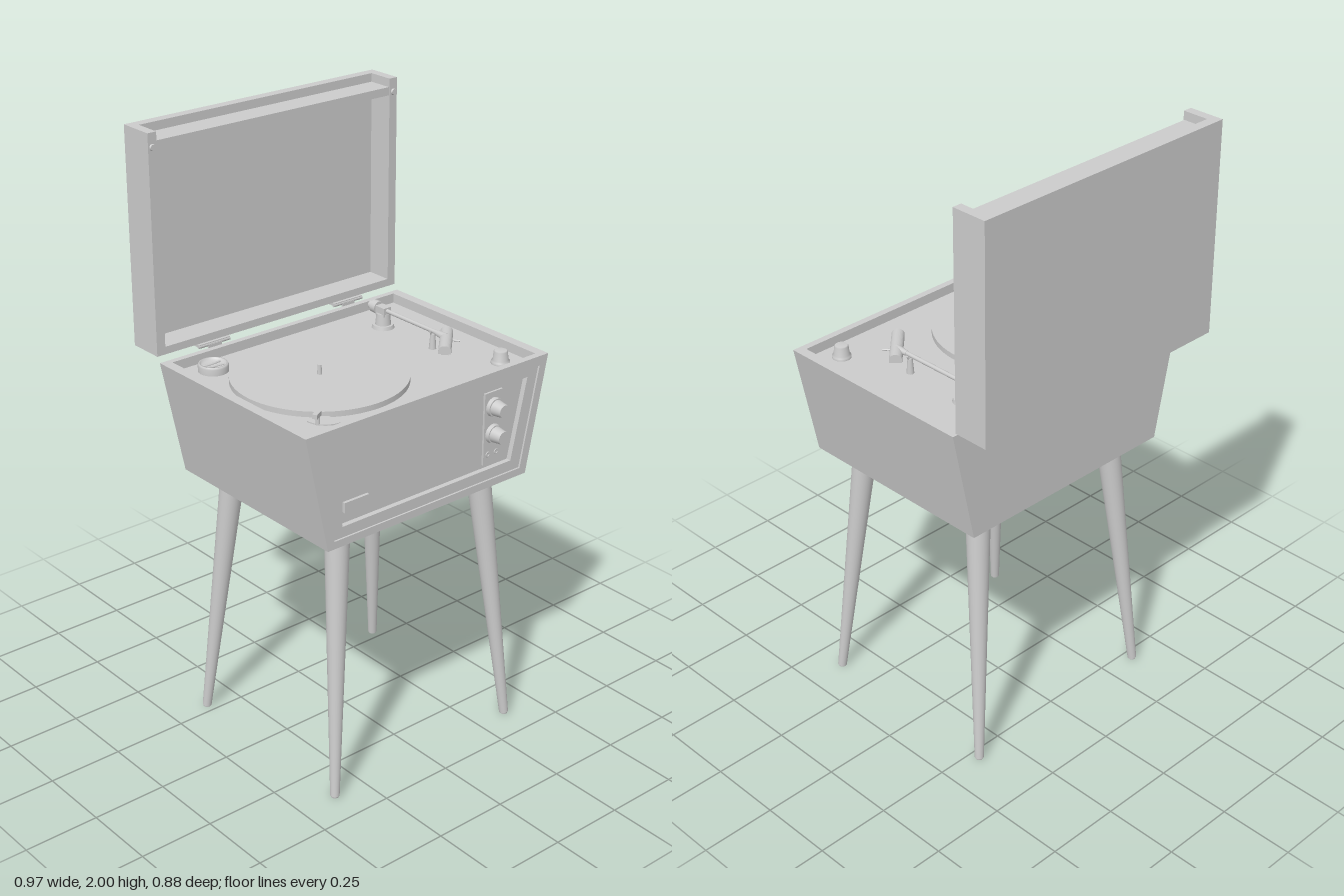
import * as THREE from 'three';

const mat = new THREE.MeshStandardMaterial({ color: 0xcccccc, roughness: 0.8 });

function add(parent, name, geo, x = 0, y = 0, z = 0) {
  const m = new THREE.Mesh(geo, mat);
  m.name = name;
  m.position.set(x, y, z);
  parent.add(m);
  return m;
}
// Box given by its min and max corners
function box(parent, name, x0, x1, y0, y1, z0, z1) {
  return add(parent, name, new THREE.BoxGeometry(x1 - x0, y1 - y0, z1 - z0),
    (x0 + x1) / 2, (y0 + y1) / 2, (z0 + z1) / 2);
}
// Outline in the xy plane, extruded from z0 to z1
function prism(parent, name, pts, z0, z1, hole) {
  const toV = (p) => p.map(([x, y]) => new THREE.Vector2(x, y));
  const shape = new THREE.Shape(toV(pts));
  if (hole) shape.holes.push(new THREE.Path(toV(hole)));
  return add(parent, name, new THREE.ExtrudeGeometry(shape, { depth: z1 - z0, bevelEnabled: false }), 0, 0, z0);
}
// Tapered round bar between two points
function rod(parent, name, a, b, ra, rb, seg = 24) {
  const p = new THREE.Vector3(...a), q = new THREE.Vector3(...b), d = q.clone().sub(p);
  const m = add(parent, name, new THREE.CylinderGeometry(rb, ra, d.length(), seg));
  m.position.copy(p).add(q).multiplyScalar(0.5);
  m.quaternion.setFromUnitVectors(new THREE.Vector3(0, 1, 0), d.normalize());
  return m;
}
const trapezoid = (yb, wb, yt, wt) => [[-wb, yb], [wb, yb], [wt, yt], [-wt, yt]];

function group(parent, name) {
  const g = new THREE.Group();
  g.name = name;
  parent.add(g);
  return g;
}

const DECK = 1.246, TOP = 1.278, BASE = 0.89;

function buildCabinet(root) {
  const g = group(root, 'cabinet');
  const outer = trapezoid(BASE, 0.403, TOP, 0.483);
  const frameHole = trapezoid(0.915, 0.378, DECK, 0.448);
  // Trapezoid box with a sunken deck
  prism(g, 'cabinetCore', [[-0.403, BASE], [0.403, BASE], [0.483, TOP], [0.45, TOP],
    [0.45, DECK], [-0.45, DECK], [-0.45, TOP], [-0.483, TOP]], -0.285, 0.38);
  prism(g, 'cabinetBack', outer, -0.305, -0.285);
  prism(g, 'frontFrame', outer, 0.38, 0.403, frameHole);
  prism(g, 'innerFrame', frameHole, 0.38, 0.397, trapezoid(0.95, 0.342, 1.218, 0.402));
  // Front controls
  box(g, 'badgePlate', -0.328, -0.234, 0.987, 1.02, 0.38, 0.39);
  box(g, 'controlPlate', 0.233, 0.307, 0.962, 1.204, 0.38, 0.387);
  for (const y of [1.153, 1.063]) {
    rod(g, 'frontKnobBase', [0.27, y, 0.385], [0.27, y, 0.4], 0.032, 0.03, 32);
    rod(g, 'frontKnob', [0.27, y, 0.4], [0.27, y, 0.437], 0.026, 0.021, 32);
  }
  for (const x of [0.251, 0.286]) {
    const ring = add(g, 'jack', new THREE.TorusGeometry(0.007, 0.0025, 8, 20), x, 0.996, 0.388);
    ring.scale.z = 0.8;
  }
}

function buildLegs(root) {
  for (const s of [-1, 1]) for (const [zt, zb, name] of [[0.308, 0.388, 'frontLeg'], [-0.205, -0.284, 'backLeg']]) {
    const g = group(root, name);
    rod(g, 'legShaft', [s * 0.367, 0.005, zb], [s * 0.289, 0.893, zt], 0.015, 0.04, 28);
    add(g, 'legFlange', new THREE.CylinderGeometry(0.046, 0.044, 0.012, 28), s * 0.289, 0.884, zt);
    add(g, 'legFoot', new THREE.CylinderGeometry(0.014, 0.012, 0.012, 20), s * 0.367, 0.006, zb);
  }
}

function buildLid(root) {
  const g = group(root, 'lid');
  box(g, 'lidPanel', -0.483, 0.483, 1.295, 2, -0.438, -0.405);
  box(g, 'lidLowerWall', -0.452, 0.452, 1.295, 1.32, -0.405, -0.317);
  // Upper wall sits below the side walls, leaving a lip
  box(g, 'lidUpperWall', -0.452, 0.452, 1.945, 1.972, -0.405, -0.32);
  for (const s of [-1, 1]) {
    const w = box(g, 'lidSideWall', -0.0155, 0.0155, 1.295, 2, -0.405, -0.317);
    w.position.x = s * 0.4675;
    rod(g, 'lidBumper', [s * 0.468, 1.955, -0.318], [s * 0.468, 1.955, -0.312], 0.011, 0.009, 16);
    // Hinges
    const x = s * 0.272;
    box(g, 'hingeLeaf', x - 0.06, x + 0.06, 1.286, 1.295, -0.335, -0.307);
    rod(g, 'hingePin', [x - 0.06, 1.288, -0.311], [x + 0.06, 1.288, -0.311], 0.006, 0.006, 12);
    box(g, 'hingeTab', x - 0.025, x + 0.025, 1.235, 1.288, -0.311, -0.304);
  }
}

function buildTurntable(root) {
  const g = group(root, 'turntable');
  const cx = -0.14, cz = 0.047;
  add(g, 'platter', new THREE.CylinderGeometry(0.276, 0.276, 0.018, 96), cx, DECK + 0.009, cz);
  add(g, 'spindle', new THREE.CylinderGeometry(0.006, 0.008, 0.034, 16), cx, 1.278, cz);

  // Single adapter: disc with a rim and two raised ribs
  const ad = group(g, 'recordAdapter');
  ad.position.set(-0.347, DECK, -0.215);
  const profile = [[0, 0.016], [0.036, 0.016], [0.04, 0.026], [0.045, 0.026], [0.048, 0.02], [0.048, 0]];
  add(ad, 'adapterDisc', new THREE.LatheGeometry(profile.reverse().map(([r, y]) => new THREE.Vector2(r, y)), 40));
  for (const s of [-1, 1]) {
    const path = new THREE.QuadraticBezierCurve3(new THREE.Vector3(-0.036, 0.017, s * 0.014),
      new THREE.Vector3(0, 0.017, s * 0.006), new THREE.Vector3(0.036, 0.017, s * 0.014));
    add(ad, 'adapterRib', new THREE.TubeGeometry(path, 12, 0.004, 8));
  }

  // Speed selector: quarter plate with a small lever
  const sector = add(g, 'speedPlate', new THREE.CylinderGeometry(0.07, 0.07, 0.004, 24, 1, false, -Math.PI / 2, Math.PI / 2),
    -0.293, DECK + 0.002, 0.262);
  sector.name = 'speedPlate';
  rod(g, 'speedLeverPost', [-0.35, DECK, 0.295], [-0.35, 1.28, 0.295], 0.007, 0.006, 12);
  const lever = box(g, 'speedLever', -0.376, -0.342, 1.275, 1.289, 0.293, 0.309);
  lever.rotation.y = Math.PI / 6;

  // Deck knob
  const kp = [[0.03, 0], [0.03, 0.008], [0.025, 0.012], [0.022, 0.04], [0.019, 0.043], [0, 0.043]];
  add(g, 'deckKnob', new THREE.LatheGeometry(kp.map(([r, y]) => new THREE.Vector2(r, y)), 32), 0.369, DECK, 0.31);
}

function buildTonearm(root) {
  const g = group(root, 'tonearm');
  const x = 0.283, y = 1.307;
  add(g, 'pivotBase', new THREE.CylinderGeometry(0.034, 0.037, 0.012, 36), x, DECK + 0.006, -0.145);
  add(g, 'pivotPost', new THREE.CylinderGeometry(0.022, 0.026, 0.04, 28), x, 1.276, -0.145);
  box(g, 'pivotYoke', x - 0.015, x + 0.015, 1.288, 1.318, -0.168, -0.125);
  rod(g, 'counterweight', [x, y, -0.19], [x, y, -0.166], 0.021, 0.021);
  rod(g, 'counterweightEnd', [x, y, -0.205], [x, y, -0.19], 0.014, 0.014);
  rod(g, 'armTube', [x, y, -0.166], [x, y, 0.14], 0.007, 0.007, 16);
  rod(g, 'armRest', [x + 0.002, DECK, 0.09], [x + 0.002, 1.297, 0.09], 0.012, 0.008, 16);
  add(g, 'armRestCradle', new THREE.TorusGeometry(0.011, 0.003, 8, 16, Math.PI), x + 0.002, 1.307, 0.09).rotation.z = Math.PI;

  // Angled head with a rounded top
  const head = group(g, 'tonearmHead');
  head.position.set(0.269, 1.29, 0.167);
  head.rotation.y = -Math.PI / 4;
  const s = new THREE.Shape();
  s.moveTo(-0.02, 0);
  s.lineTo(0.02, 0);
  s.lineTo(0.02, 0.01);
  s.absellipse(0, 0.01, 0.02, 0.017, 0, Math.PI, false);
  add(head, 'headShell', new THREE.ExtrudeGeometry(s, { depth: 0.164, bevelEnabled: false, curveSegments: 16 }), 0, 0, -0.082);
  box(head, 'cartridge', -0.012, 0.012, -0.012, 0, 0.02, 0.06);
  rod(head, 'fingerLift', [0.015, 0.008, -0.015], [0.044, 0.006, -0.015], 0.003, 0.003, 10);
  rod(g, 'headNeck', [x, y, 0.105], [x, y - 0.003, 0.152], 0.008, 0.014, 16);
}

export function createModel() {
  const root = new THREE.Group();
  root.name = 'recordPlayer';
  buildCabinet(root);
  buildLegs(root);
  buildLid(root);
  buildTurntable(root);
  buildTonearm(root);
  return root;
}
